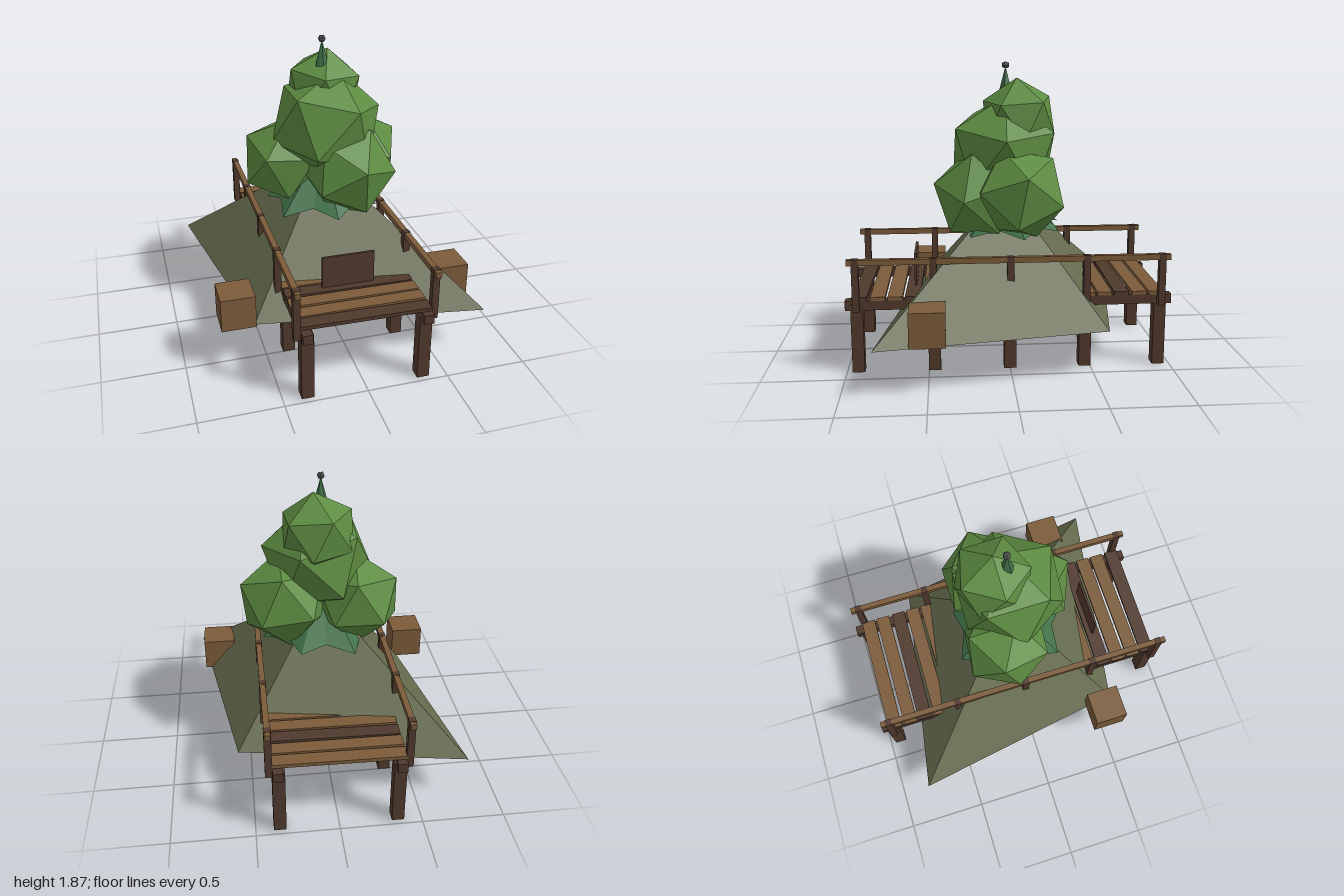
import * as THREE from 'three';

const mat = (name, color, extra = {}) => {
  const m = new THREE.MeshStandardMaterial({ color, flatShading: true, ...extra });
  m.name = name;
  return m;
};

export function createModel() {
  const root = new THREE.Group();
  root.name = 'treeShelterWithWalkway';
  const darkWood = mat('darkWood', 0x50392d);
  const lightWood = mat('lightWood', 0x7b5b3a);
  const canvas = mat('canvas', 0x656b4e);
  const leaf = mat('leaf', 0x5d8c41);
  const needle = mat('needle', 0x3f7048, { side: THREE.DoubleSide });
  const stone = mat('stone', 0x5c5c5e);
  const pale = mat('pale', 0xd2d2d2, { side: THREE.DoubleSide });

  const add = (name, geo, material, x = 0, y = 0, z = 0) => {
    const mesh = new THREE.Mesh(geo, material);
    mesh.name = name;
    mesh.position.set(x, y, z);
    root.add(mesh);
    return mesh;
  };
  const box = (name, m, w, h, d, x, y, z) => add(name, new THREE.BoxGeometry(w, h, d), m, x, y, z);

  // Four-sided tent, stretched along one diagonal
  const tent = new THREE.ConeGeometry(1, 0.78, 4);
  tent.scale(0.82, 1, 1.145);
  tent.rotateY(Math.PI / 4);
  add('tent', tent, canvas, 0, 0.68, 0);

  // Walkway: beams, legs, railings on both sides
  for (const s of [-1, 1]) {
    box('beam', darkWood, 0.06, 0.06, 2, s * 0.36, 0.425, 0);
    box('handrail', lightWood, 0.035, 0.035, 1.96, s * 0.41, 0.7, 0);
    for (const z of [-0.93, -0.465, 0, 0.465, 0.93]) {
      box('leg', darkWood, 0.075, 0.43, 0.075, s * 0.355, 0.215, z);
      box('railPost', darkWood, 0.042, 0.325, 0.042, s * 0.41, 0.5575, z);
    }
    box('crate', lightWood, 0.21, 0.21, 0.21, s * 0.677, 0.395, 0.5);
  }

  // Deck planks, every third one dark, each slightly askew
  for (let i = 0; i < 18; i++) {
    const plank = box('plank', i % 3 === 2 ? darkWood : lightWood,
      0.79, 0.023, 0.09, 0, 0.466, -0.907 + i * 0.1067);
    plank.rotation.y = -0.012 + 0.008 * Math.sin(i * 2.1);
  }

  // Door panel at the front of the tent
  box('doorPanel', darkWood, 0.325, 0.4, 0.015, 0, 0.483, 0.58);

  // Stone and pale sheet beneath the tent
  const rock = add('rock', new THREE.IcosahedronGeometry(0.2, 1), stone, -0.02, 0.33, 0);
  rock.scale.set(1, 0.44, 0.85);
  add('paleSheet', new THREE.PlaneGeometry(0.46, 0.2), pale, 0.23, 0.25, 0);

  // Foliage clumps: x, y, z, radius, then rotations
  const clumps = [
    [0.12, 1.05, 0.17, 0.3, 0.3, 0.2, 0.1],
    [0.24, 1.07, -0.07, 0.3, 0.5, 0.9, 0.4],
    [-0.22, 1.06, -0.08, 0.29, 0.2, 2.1, 0.6],
    [0.02, 1.31, 0.02, 0.36, 0.1, 0.6, 0.3],
    [0.03, 1.52, -0.08, 0.25, 0.4, 1.3, 0.2],
  ];
  for (const [x, y, z, r, a, b, c] of clumps) {
    add('foliage', new THREE.IcosahedronGeometry(r), leaf, x, y, z).rotation.set(a, b, c);
  }

  // Jagged needle cones: low skirt and treetop
  const jagged = (name, r, h, n, top) => {
    const geo = new THREE.ConeGeometry(r, h, n, 1, true);
    const p = geo.attributes.position;
    for (let i = 0; i < p.count; i++) {
      if (p.getY(i) > 0) continue;
      const k = i % (n + 1) % n;
      const f = k % 2 ? 0.74 : 0.95 + 0.06 * Math.sin(k * 1.7);
      p.setXYZ(i, p.getX(i) * f, p.getY(i) + (k % 2 ? 0.12 * h : 0), p.getZ(i) * f);
    }
    add(name, geo, needle, 0, top - h / 2, 0);
  };
  jagged('needleSkirt', 0.4, 0.34, 14, 1.15);
  jagged('treetop', 0.09, 0.32, 10, 1.84);
  add('finial', new THREE.IcosahedronGeometry(0.025), stone, 0, 1.845, 0);

  return root;
}
